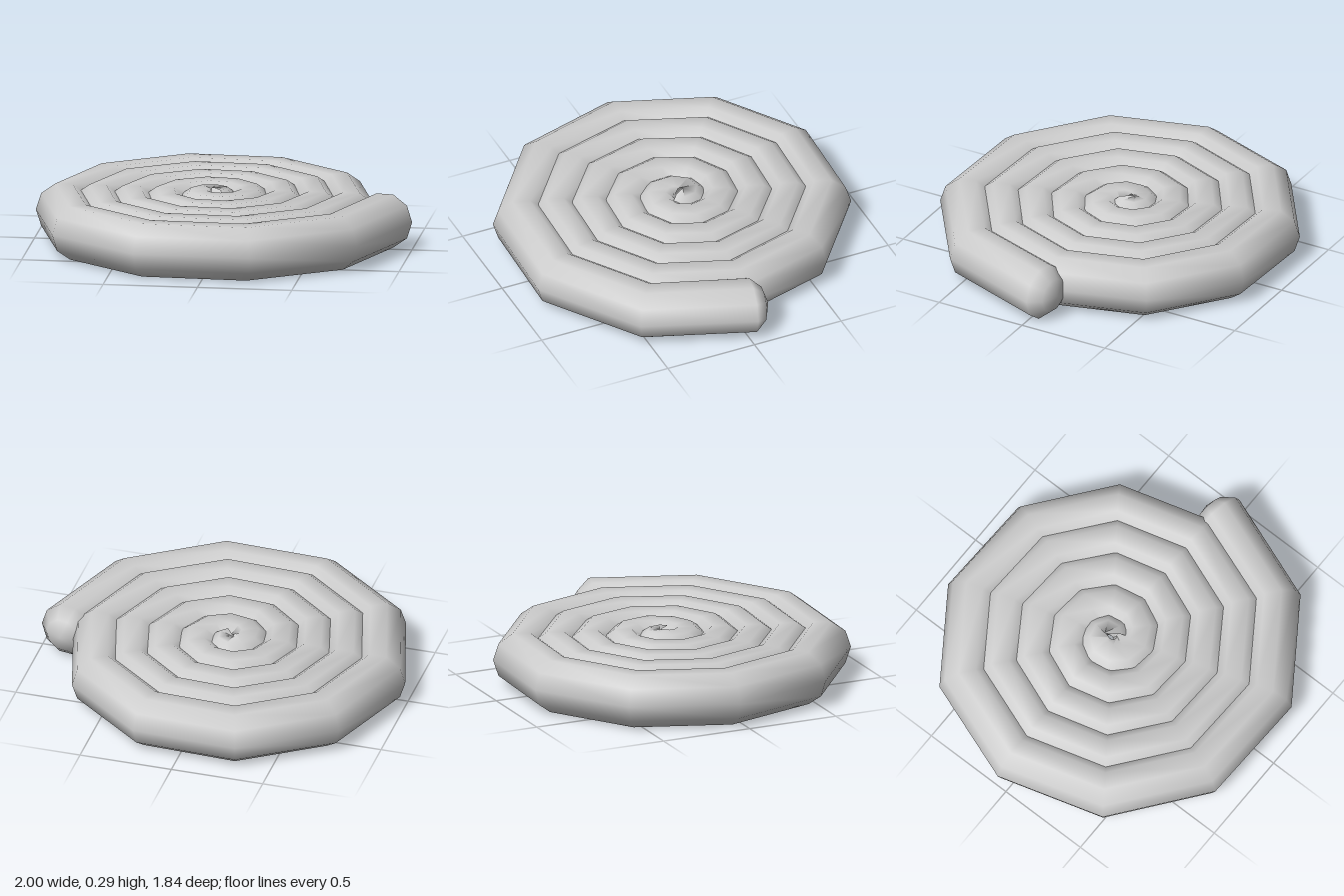
import * as THREE from 'three';

const SIDES = 10;          // sides of the rope and points per turn
const POINTS = 50;         // spiral steps, centre to outer end
const TUBE = 0.15;
const HALF_HEIGHT = TUBE * Math.sin(Math.PI * 0.4);

// Centre line of the coil, step 0 in the middle
function spiralPoint(i) {
  const r = 0.895 * i / POINTS;
  const a = (POINTS - i) * Math.PI * 2 / SIDES;
  return new THREE.Vector2(-0.045 + r * Math.cos(a), -0.05 + r * Math.sin(a));
}

function createRopeGeometry() {
  const positions = [], index = [];

  const addRing = (centre, tangent, radius) => {
    for (let j = 0; j < SIDES; j++) {
      const a = j * Math.PI * 2 / SIDES;
      const side = radius * Math.cos(a);
      positions.push(centre.x - tangent.y * side, HALF_HEIGHT + radius * Math.sin(a), centre.y + tangent.x * side);
    }
  };

  // Rings square to the spiral
  for (let i = 0; i < POINTS; i++) {
    const before = spiralPoint(Math.max(i - 1, 0));
    addRing(spiralPoint(i), spiralPoint(i + 1).sub(before).normalize(), TUBE);
  }

  // Outer end with its rounded tip
  const end = spiralPoint(POINTS);
  const endTangent = new THREE.Vector2(0.174, -0.985);
  addRing(end, endTangent, TUBE);
  addRing(end.clone().addScaledVector(endTangent, 0.062), endTangent, 0.093);
  const apex = end.clone().addScaledVector(endTangent, 0.092);
  positions.push(apex.x, HALF_HEIGHT, apex.y);

  const lastRing = POINTS + 1, tip = (lastRing + 1) * SIDES;
  for (let j = 0; j < SIDES; j++) {
    const k = (j + 1) % SIDES;
    for (let i = 0; i < lastRing; i++) {
      const a = i * SIDES + j, b = a + SIDES, c = i * SIDES + k, d = c + SIDES;
      index.push(a, b, c, b, d, c);
    }
    index.push(lastRing * SIDES + j, tip, lastRing * SIDES + k);
  }

  const geometry = new THREE.BufferGeometry();
  geometry.setAttribute('position', new THREE.Float32BufferAttribute(positions, 3));
  geometry.setIndex(index);
  geometry.computeVertexNormals();
  return geometry;
}

export function createModel() {
  const group = new THREE.Group();
  group.name = 'coiledRope';
  const material = new THREE.MeshStandardMaterial({ color: 0xcccccc });
  material.name = 'light grey';
  const rope = new THREE.Mesh(createRopeGeometry(), material);
  rope.name = 'spiralRope';
  group.add(rope);
  return group;
}
